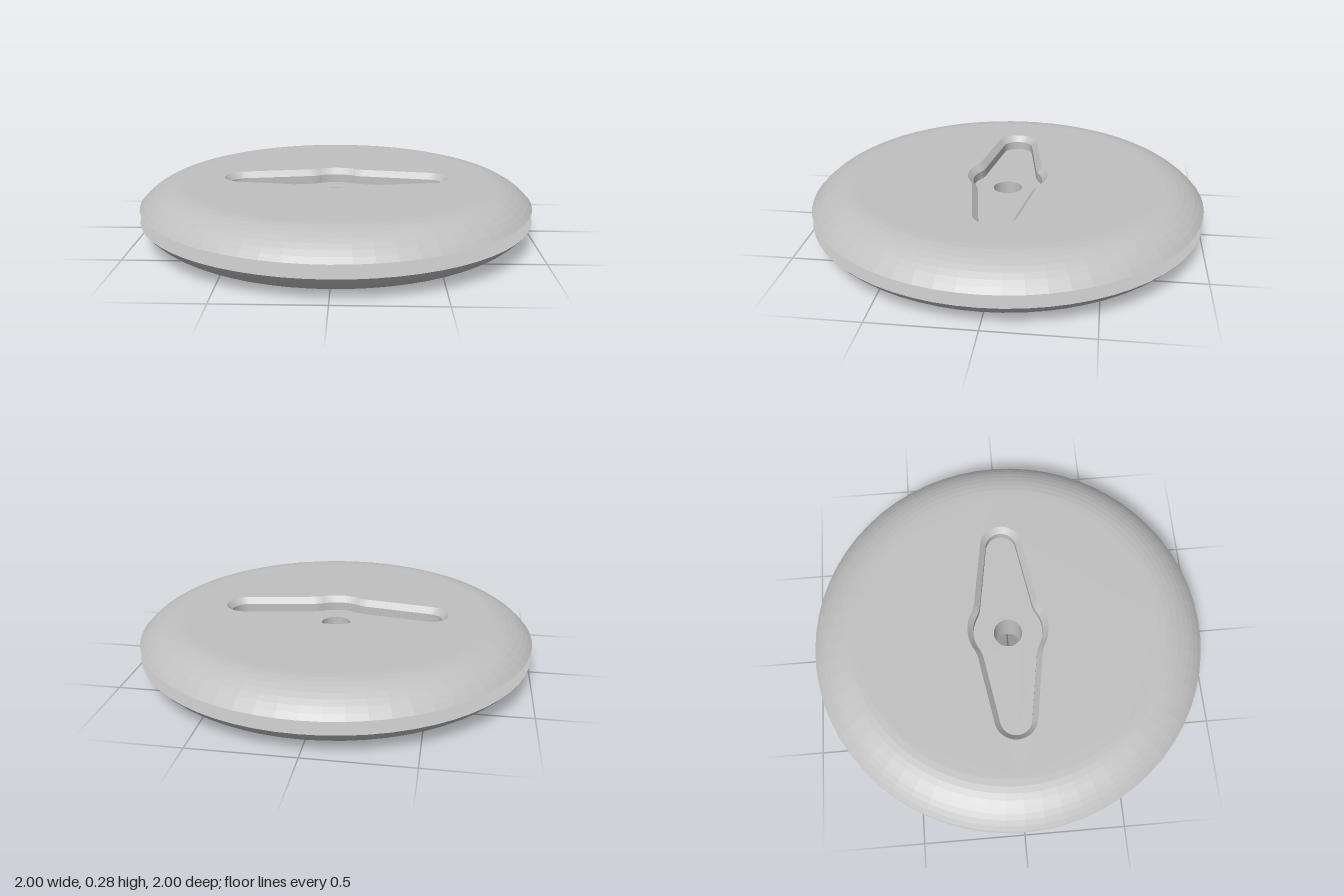
import * as THREE from 'three';

const SEG = 64, FLAT = 0.77, BORE = 0.073;
const TOP = 0.285, FLOOR = 0.212, CHAMFER = 0.028;
const LOW_RIM = 0.113, HIGH_RIM = 0.177;

const V = (x, y) => new THREE.Vector2(x, y);

// Convex flange curve: [radius, height above the rim], level at the flat face
function flangeCurve(height) {
  const dx = 1 - FLAT, r = (dx * dx + height * height) / (2 * height);
  const end = Math.asin(dx / r), n = 8, pts = [];
  for (let i = 0; i <= n; i++) {
    const a = end * i / n;
    pts.push(V(FLAT + r * Math.sin(a), height - r * (1 - Math.cos(a))));
  }
  return pts; // flat face to rim
}

// Points of a circle that match the lathe's corners, counter-clockwise
function circle(r) {
  return Array.from({ length: SEG }, (_, i) => {
    const a = 2 * Math.PI * i / SEG;
    return V(r * Math.cos(a), r * Math.sin(a));
  });
}

// Slot outline: round ends, tapering sides and a central bulge, grown by d
function slotOutline(d) {
  const A = 1.408, endX = 0.47, endR = 0.08 + d, R = 0.178 + d;
  const q = [];
  for (let i = 0; i <= 12; i++) {
    const a = A * i / 12;
    q.push(V(endX + endR * Math.cos(a), endR * Math.sin(a)));
  }
  const k = A - Math.acos((endX * Math.cos(A) + endR) / R);
  const corner = V(R * Math.cos(k), R * Math.sin(k));
  const start = V(corner.x + 0.03 * Math.sin(A), corner.y - 0.03 * Math.cos(A));
  const k2 = k + 0.18;
  const fillet = new THREE.QuadraticBezierCurve(start, corner, V(R * Math.cos(k2), R * Math.sin(k2)));
  q.push(...fillet.getPoints(5));
  for (let i = 1; i <= 6; i++) {
    const a = k2 + (Math.PI / 2 - k2) * i / 6;
    q.push(V(R * Math.cos(a), R * Math.sin(a)));
  }
  const back = [...q].reverse();
  return [
    ...q,
    ...back.slice(1).map(p => V(-p.x, p.y)),
    ...q.slice(1).map(p => V(-p.x, -p.y)),
    ...back.slice(1, -1).map(p => V(p.x, -p.y)),
  ];
}

// Inward-facing band between two matching outlines
function innerBand(low, yLow, high, yHigh) {
  const pos = [], n = low.length;
  const put = (p, y) => pos.push(p.x, y, -p.y);
  for (let i = 0; i < n; i++) {
    const j = (i + 1) % n;
    put(low[i], yLow); put(high[j], yHigh); put(low[j], yLow);
    put(low[i], yLow); put(high[i], yHigh); put(high[j], yHigh);
  }
  const g = new THREE.BufferGeometry();
  g.setAttribute('position', new THREE.Float32BufferAttribute(pos, 3));
  return g;
}

// Level face with one hole, facing up
function plate(outline, hole, y) {
  const s = new THREE.Shape(outline);
  s.holes.push(new THREE.Path(hole));
  return new THREE.ShapeGeometry(s).rotateX(-Math.PI / 2).translate(0, y, 0);
}

export function createModel() {
  const group = new THREE.Group();
  const grey = new THREE.MeshStandardMaterial({ color: 0xc0c0c0 });
  grey.name = 'grey';

  const add = (name, geometry) => {
    const g = geometry.index ? geometry.toNonIndexed() : geometry;
    g.computeVertexNormals(); // faceted
    const mesh = new THREE.Mesh(g, grey);
    mesh.name = name;
    group.add(mesh);
  };
  const lathe = pts => new THREE.LatheGeometry(pts, SEG);

  // Two dished flanges joined by a narrower hub
  const lower = flangeCurve(LOW_RIM).map(p => V(p.x, LOW_RIM - p.y));
  add('lowerFlange', lathe([V(BORE, 0), ...lower, V(0.71, LOW_RIM)]));
  add('hub', lathe([V(0.71, LOW_RIM), V(0.71, HIGH_RIM)]));
  const upper = flangeCurve(TOP - HIGH_RIM).map(p => V(p.x, HIGH_RIM + p.y)).reverse();
  add('upperFlange', lathe([V(0.71, HIGH_RIM), ...upper]));

  // Top face with the chamfered slot sunk into it
  const inner = slotOutline(0), outer = slotOutline(CHAMFER);
  add('topFace', plate(circle(FLAT), outer, TOP));
  add('slotChamfer', innerBand(inner, TOP - 0.03, outer, TOP));
  add('slotWall', innerBand(inner, FLOOR, inner, TOP - 0.03));
  add('slotFloor', plate(inner, circle(BORE), FLOOR));

  // Through hole
  add('bore', lathe([V(BORE, FLOOR), V(BORE, 0)]));
  return group;
}
